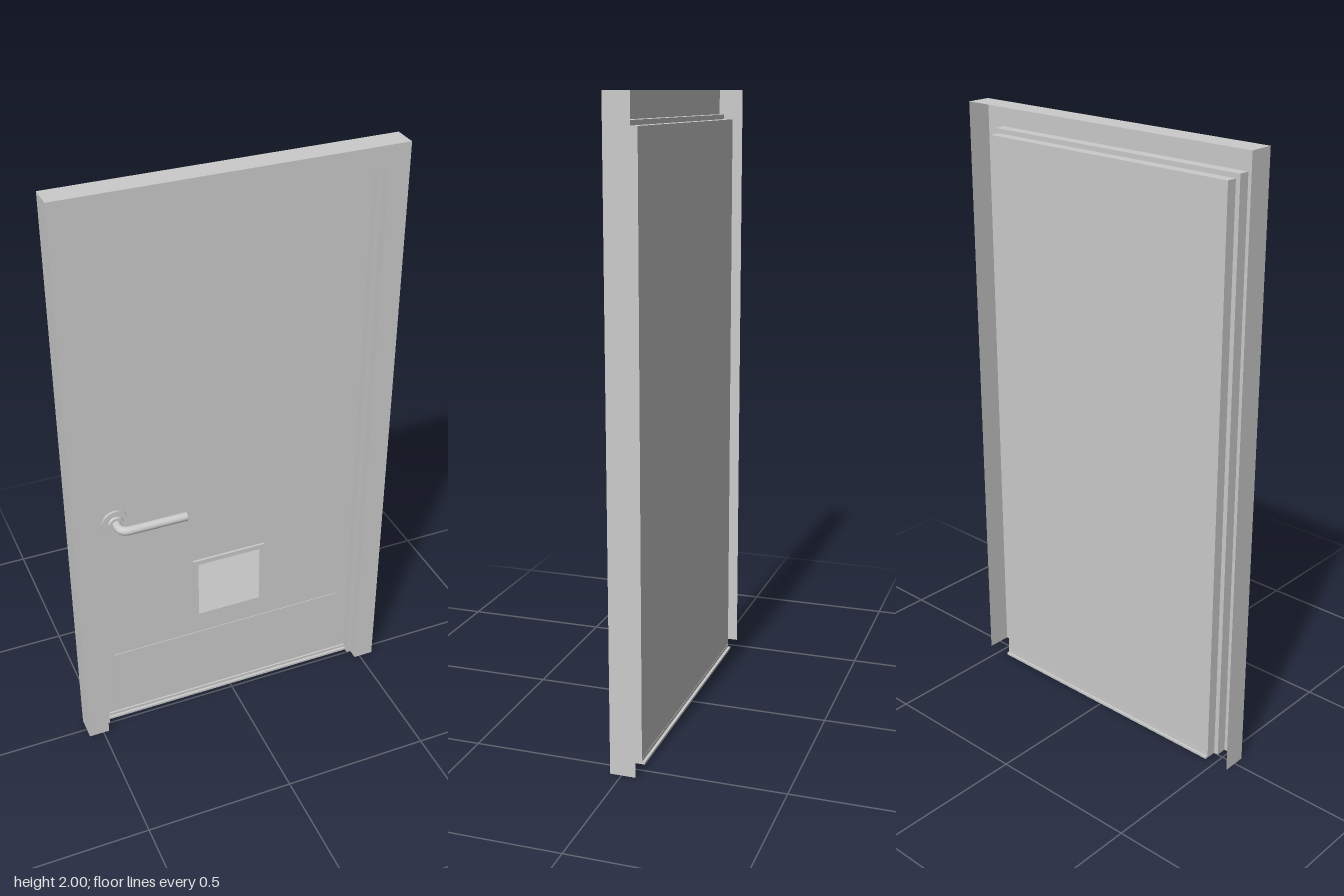
import * as THREE from 'three';

const mat = new THREE.MeshStandardMaterial({ color: 0xcccccc, side: THREE.DoubleSide });

function add(parent, name, geo, x = 0, y = 0, z = 0) {
  const m = new THREE.Mesh(geo, mat);
  m.name = name;
  m.position.set(x, y, z);
  parent.add(m);
  return m;
}

const box = (w, h, d) => new THREE.BoxGeometry(w, h, d);

// Folded sheet profile swept up one jamb, across the head and down the other
function frameGeometry(profile) {
  const rail = ([x, y, z]) => [[-x, 0, z], [-x, y, z], [x, y, z], [x, 0, z]];
  const pos = [];
  for (let i = 0; i < profile.length - 1; i++) {
    const a = rail(profile[i]), b = rail(profile[i + 1]);
    for (let j = 0; j < 3; j++) {
      pos.push(...a[j], ...b[j], ...b[j + 1], ...a[j], ...b[j + 1], ...a[j + 1]);
    }
  }
  const g = new THREE.BufferGeometry();
  g.setAttribute('position', new THREE.Float32BufferAttribute(pos, 3));
  g.computeVertexNormals();
  return g;
}

function rectPath(P, w, h) {
  const p = new P();
  p.moveTo(-w / 2, -h / 2);
  p.lineTo(w / 2, -h / 2);
  p.lineTo(w / 2, h / 2);
  p.lineTo(-w / 2, h / 2);
  p.closePath();
  return p;
}

export function createModel() {
  const door = new THREE.Group();
  door.name = 'door';
  const front = -0.03; // front face of the leaf

  // Frame: outer wall, front casing, reveal, stop; open at the back
  add(door, 'frame', frameGeometry([
    [0.55, 2, -0.045], [0.55, 2, 0.036], [0.48, 1.92, 0.036],
    [0.48, 1.92, 0], [0.465, 1.905, 0], [0.465, 1.905, -0.033],
  ]));

  // Leaf, kick plate and sill
  add(door, 'leaf', box(0.93, 1.89, 0.005), 0, 0.96, front - 0.0025);
  add(door, 'kickPlate', box(0.85, 0.25, 0.003), 0, 0.157, front + 0.001);
  add(door, 'sill', box(0.93, 0.008, 0.03), 0, 0.004, -0.03);
  add(door, 'sillStep', box(0.93, 0.012, 0.012), 0, 0.012, -0.03);

  // Ventilation grille: rim with sloping slats
  const grille = new THREE.Group();
  grille.name = 'grille';
  grille.position.set(0, 0.478, front);
  const rim = rectPath(THREE.Shape, 0.26, 0.25);
  rim.holes.push(rectPath(THREE.Path, 0.226, 0.216));
  add(grille, 'grilleRim', new THREE.ExtrudeGeometry(rim, { depth: 0.008, bevelEnabled: false }));
  const slats = 11, pitch = 0.216 / slats;
  for (let i = 0; i < slats; i++) {
    const s = add(grille, 'slat', box(0.226, 0.019, 0.002), 0, -0.108 + pitch * (i + 0.5), 0.004);
    s.rotation.x = -0.35;
  }
  door.add(grille);

  // Lever handle: round plate, neck and rounded elbow into the grip
  const handle = new THREE.Group();
  handle.name = 'handle';
  handle.position.set(-0.392, 0.847, front);
  add(handle, 'rosette', new THREE.CylinderGeometry(0.045, 0.045, 0.008, 32).rotateX(Math.PI / 2), 0, 0, 0.004);
  add(handle, 'collar', new THREE.CylinderGeometry(0.024, 0.026, 0.008, 24).rotateX(Math.PI / 2), 0, 0, 0.012);
  const path = new THREE.CurvePath();
  const v = (x, z) => new THREE.Vector3(x, 0, z);
  path.add(new THREE.LineCurve3(v(0, 0), v(0, 0.03)));
  path.add(new THREE.QuadraticBezierCurve3(v(0, 0.03), v(0, 0.06), v(0.035, 0.06)));
  path.add(new THREE.LineCurve3(v(0.035, 0.06), v(0.222, 0.06)));
  add(handle, 'lever', new THREE.TubeGeometry(path, 64, 0.015, 16));
  add(handle, 'leverEnd', new THREE.CircleGeometry(0.015, 16).rotateY(Math.PI / 2), 0.222, 0, 0.06);
  door.add(handle);

  return door;
}
